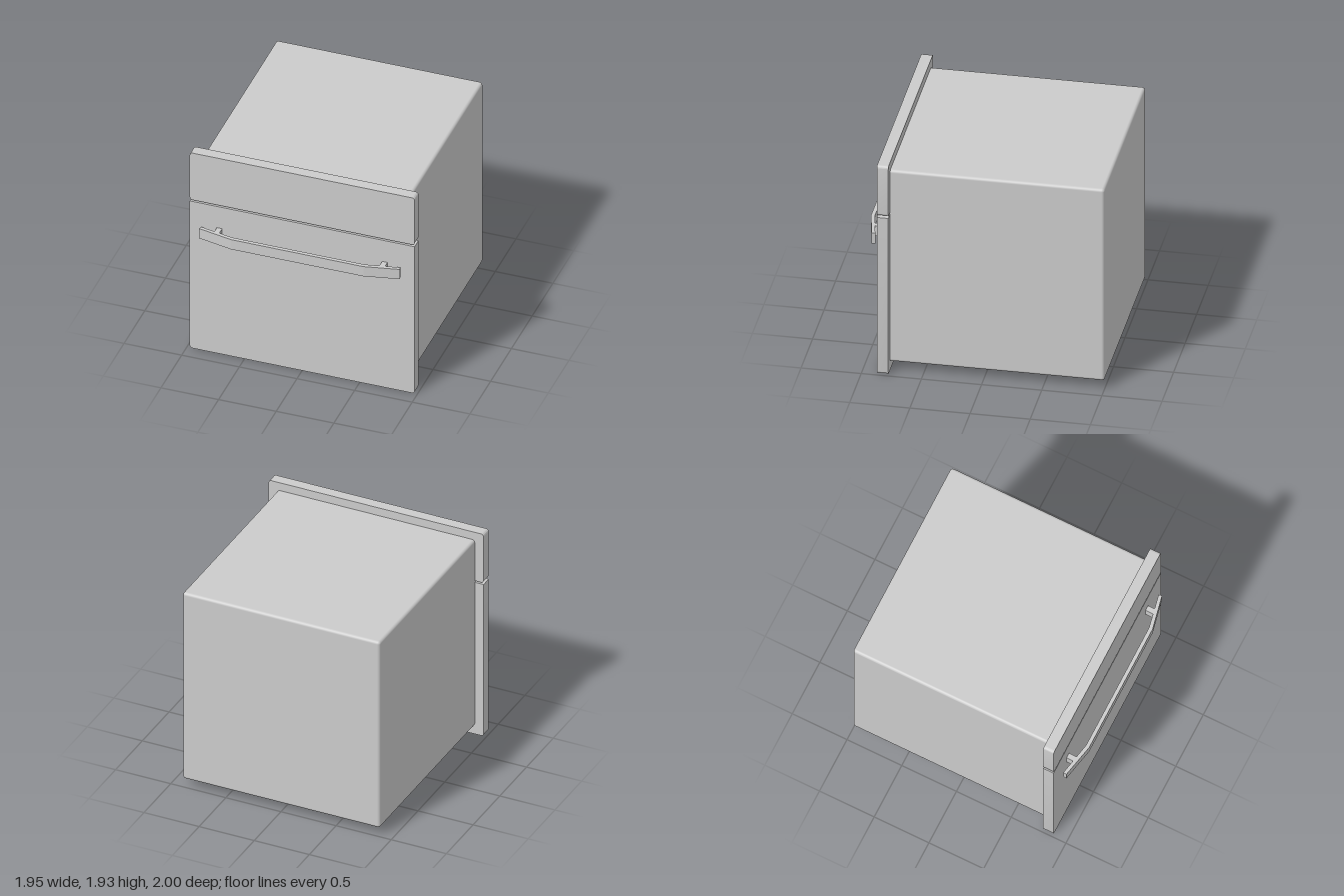
import * as THREE from 'three';
import { RoundedBoxGeometry } from 'three/addons/geometries/RoundedBoxGeometry.js';
import { toCreasedNormals } from 'three/addons/utils/BufferGeometryUtils.js';

const material = new THREE.MeshStandardMaterial({ color: 0xcccccc });

// Rectangle outline with separate top and bottom corner radii
function panelShape(x, y0, y1, rBottom, rTop) {
  const s = new THREE.Shape();
  s.moveTo(-x + rBottom, y0);
  s.lineTo(x - rBottom, y0);
  if (rBottom) s.absarc(x - rBottom, y0 + rBottom, rBottom, -Math.PI / 2, 0);
  s.lineTo(x, y1 - rTop);
  if (rTop) s.absarc(x - rTop, y1 - rTop, rTop, 0, Math.PI / 2);
  s.lineTo(-x + rTop, y1);
  if (rTop) s.absarc(-x + rTop, y1 - rTop, rTop, Math.PI / 2, Math.PI);
  s.lineTo(-x, y0 + rBottom);
  if (rBottom) s.absarc(-x + rBottom, y0 + rBottom, rBottom, Math.PI, Math.PI * 1.5);
  return s;
}

function extrude(shape, depth) {
  const g = new THREE.ExtrudeGeometry(shape, { depth, bevelEnabled: false, curveSegments: 8 });
  return toCreasedNormals(g, 0.6);
}

export function createModel() {
  const group = new THREE.Group();
  const add = (name, geometry, x = 0, y = 0, z = 0, parent = group) => {
    const mesh = new THREE.Mesh(geometry, material);
    mesh.name = name;
    mesh.position.set(x, y, z);
    parent.add(mesh);
    return mesh;
  };

  // Cabinet: rounded at the back, its front edge hidden inside the panels
  add('cabinet', new RoundedBoxGeometry(1.79, 1.78, 1.81, 5, 0.025), 0, 0.968, -0.095);

  // Front panels, separated by a narrow gap
  add('door', extrude(panelShape(0.975, 0, 1.453, 0.025, 0), 0.095), 0, 0, 0.78);
  add('controlPanel', extrude(panelShape(0.975, 1.468, 1.932, 0.025, 0.025), 0.095), 0, 0, 0.78);

  // Handle: flat bar with swept-back ends, drawn in plan and extruded upwards
  const handle = new THREE.Group();
  handle.name = 'handle';
  group.add(handle);
  const half = [[0.575, 1.0], [0.87, 0.938], [0.864, 0.909], [0.572, 0.968]];
  const outline = [...half, ...half.map(([x, z]) => [-x, z]).reverse()];
  const bar = extrude(new THREE.Shape(outline.map(([x, z]) => new THREE.Vector2(x, -z))), 0.096);
  bar.rotateX(-Math.PI / 2);
  // Plain facets along the bar
  bar.computeVertexNormals();
  add('handleBar', bar, 0, 1.148, 0, handle);

  // Posts joining the bar to the door
  for (const side of [-1, 1]) {
    add('handlePost', new THREE.BoxGeometry(0.046, 0.094, 0.08), side * 0.717, 1.196, 0.91, handle);
  }
  return group;
}
